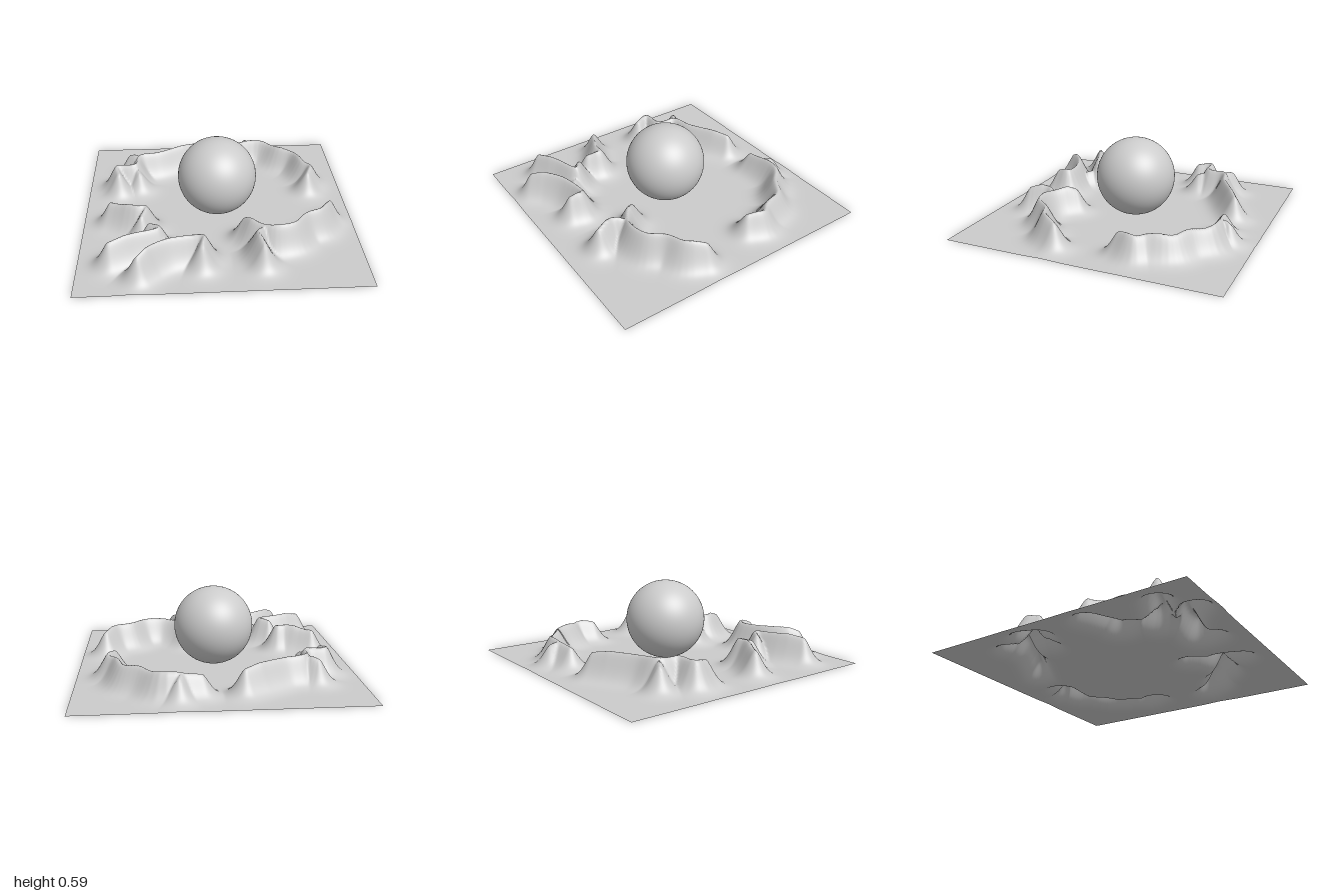
import * as THREE from 'three';

// Smooth crest line through ground points (x, z); its height ripples a little and dips at the ends
function ridge(height, ...points) {
  const curve = new THREE.CatmullRomCurve3(points.map(([x, z]) => new THREE.Vector3(x, 0, z)), false, 'centripetal');
  const steps = (points.length - 1) * 5;
  return curve.getPoints(steps).map((p, i) => {
    const end = Math.min(i, steps - i, 3) / 3;
    p.y = height * (0.9 + 0.1 * end) + 0.006 * Math.sin(17 * p.x + 23 * p.z);
    return p;
  });
}

function createCrests() {
  const backLeft = [
    ridge(0.21, [-0.15, -0.73], [-0.32, -0.63], [-0.45, -0.56], [-0.6, -0.51], [-0.63, -0.37], [-0.78, -0.35], [-0.76, -0.25]),
    ridge(0.2, [-0.6, -0.51], [-0.68, -0.56]),
    ridge(0.17, [-0.63, -0.37], [-0.6, -0.3]),
  ];
  const backRight = [
    ridge(0.185, [0.14, -0.74], [0.41, -0.75], [0.54, -0.63], [0.66, -0.55], [0.72, -0.39], [0.77, -0.32], [0.73, -0.2]),
    ridge(0.185, [0.27, -0.76], [0.29, -0.82]),
  ];
  const frontRight = [
    ridge(0.21, [0.18, 0.42], [0.25, 0.5], [0.38, 0.56], [0.52, 0.53], [0.62, 0.42], [0.74, 0.36], [0.82, 0.24]),
    ridge(0.21, [0.3, 0.54], [0.25, 0.62], [0.28, 0.75]),
  ];
  const frontLeft = [
    ridge(0.21, [-0.79, 0.17], [-0.6, 0.26], [-0.53, 0.26], [-0.56, 0.36]),
    ridge(0.215, [-0.5, 0.47], [-0.43, 0.53], [-0.6, 0.6], [-0.77, 0.68]),
    ridge(0.215, [-0.57, 0.84], [-0.48, 0.75], [-0.34, 0.67], [-0.13, 0.65], [-0.14, 0.74]),
    ridge(0.14, [-0.43, 0.53], [-0.36, 0.6]),
  ];
  return [...backLeft, ...backRight, ...frontRight, ...frontLeft];
}

// Height falls away from the nearest crest with a flared foot
function heightAt(crests, x, z) {
  let best = 0;
  for (const crest of crests) {
    for (let i = 0; i < crest.length - 1; i++) {
      const a = crest[i], b = crest[i + 1];
      const dx = b.x - a.x, dz = b.z - a.z;
      const t = THREE.MathUtils.clamp(((x - a.x) * dx + (z - a.z) * dz) / (dx * dx + dz * dz), 0, 1);
      const d = Math.hypot(x - a.x - t * dx, z - a.z - t * dz);
      const top = a.y + t * (b.y - a.y);
      best = Math.max(best, top * Math.exp(-Math.pow(d / 0.078, 1.6)));
    }
  }
  return best;
}

export function createModel() {
  const model = new THREE.Group();

  // Square ground sheet raised into a broken ring of ridges
  const crests = createCrests();
  const ground = new THREE.PlaneGeometry(2, 2, 180, 180).rotateX(-Math.PI / 2);
  const pos = ground.attributes.position;
  for (let i = 0; i < pos.count; i++) pos.setY(i, heightAt(crests, pos.getX(i), pos.getZ(i)));
  ground.computeVertexNormals();
  const terrain = new THREE.Mesh(ground, new THREE.MeshStandardMaterial({ color: 0xcccccc, side: THREE.DoubleSide }));
  terrain.name = 'terrain';
  model.add(terrain);

  // Ball resting in the middle
  const ball = new THREE.Mesh(new THREE.SphereGeometry(0.293, 64, 40), new THREE.MeshStandardMaterial({ color: 0xcccccc }));
  ball.name = 'ball';
  ball.position.y = 0.296;
  model.add(ball);

  return model;
}
